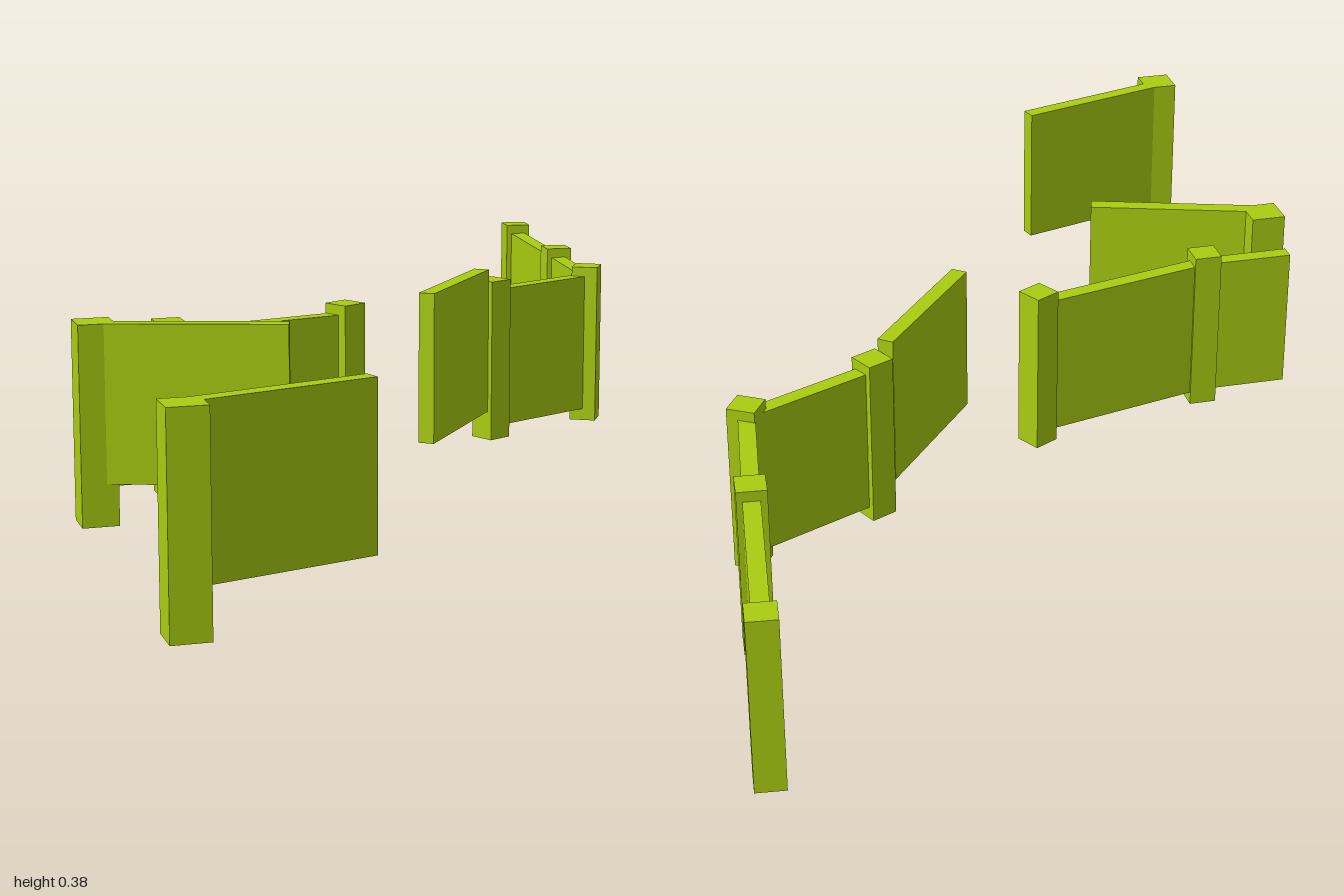
import * as THREE from 'three';

const material = new THREE.MeshStandardMaterial({ color: 0xaacc11, flatShading: true });

function box(name, w, h, d, x, y0, z, angle) {
  const mesh = new THREE.Mesh(new THREE.BoxGeometry(w, h, d), material);
  mesh.name = name;
  mesh.position.set(x, y0 + h / 2, z);
  mesh.rotation.y = angle;
  return mesh;
}

// Upright slab running between two ground points [x, z]
function panel(name, a, b, y0, y1) {
  const dx = b[0] - a[0], dz = b[1] - a[1];
  return box(name, Math.hypot(dx, dz), y1 - y0, 0.032,
    (a[0] + b[0]) / 2, y0, (a[1] + b[1]) / 2, Math.atan2(-dz, dx));
}

export function createModel() {
  const group = new THREE.Group();
  group.name = 'brokenFence';

  // Fence posts: x, z, turn in degrees
  const posts = [
    [0.287, -0.18, 26], [0.545, -0.298, -31], [0.581, -0.577, -5], [0.627, -0.97, -6],
    [-0.088, 0.014, 29], [-0.462, 0.105, 0],
  ];
  for (const [x, z, deg] of posts) {
    group.add(box('fencePost', 0.055, 0.335, 0.055, x, 0.02, z, THREE.MathUtils.degToRad(deg)));
  }

  // Fence walls between neighbouring posts, plus one stub with a free end
  const at = (i) => posts[i].slice(0, 2);
  const walls = [[at(0), at(1)], [at(1), at(2)], [at(2), at(3)], [at(4), at(5)], [at(5), [-0.642, 0.105]]];
  for (const [a, b] of walls) group.add(panel('fenceWall', a, b, 0.045, 0.335));

  // Two tall gate posts
  for (const z of [0.213, 0.963]) {
    group.add(box('gatePost', 0.07, 0.38, 0.07, -0.625, 0, z, 0));
  }

  // Raised gate leaves standing ajar
  const leaves = [
    [[-0.61, 0.232], [-0.287, 0.336]],
    [[-0.61, 0.945], [-0.284, 0.847]],
    [[0.258, -0.163], [0.054, 0.095]],
  ];
  for (const [a, b] of leaves) group.add(panel('gateLeaf', a, b, 0.08, 0.38));

  return group;
}
